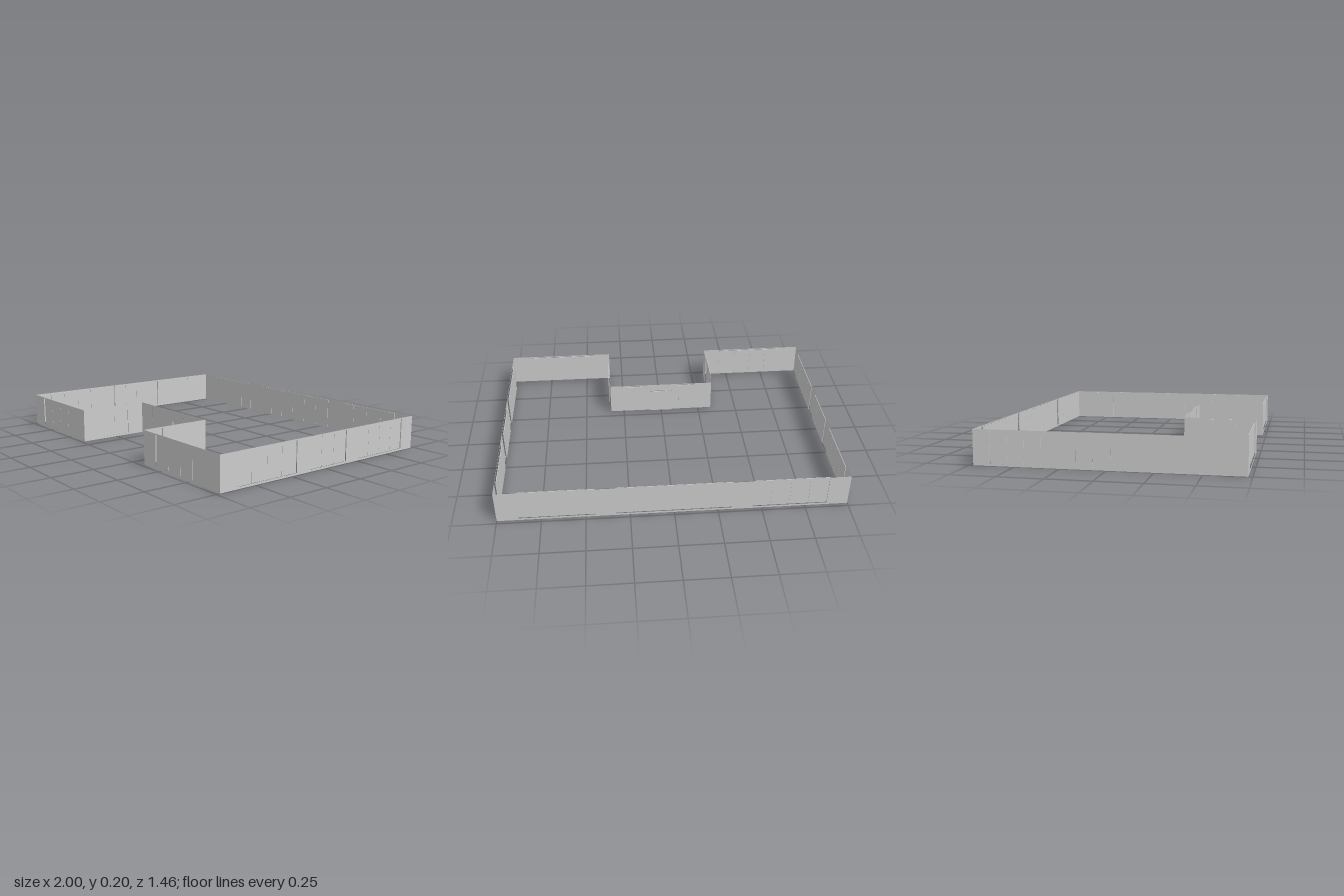
import * as THREE from 'three';

const X = 1, Z = 0.728, NX = 0.335, NZ = 0.305; // outer half sizes, entrance recess
const H = 0.196, SILL = 0.012, HEAD = 0.19;
const INSET = 0.009, GAP = 0.002, LAP = 0.0015;

const material = new THREE.MeshStandardMaterial({ color: 0xcccccc, side: THREE.DoubleSide });

function box(name, w, h, d, x, y, z) {
  const mesh = new THREE.Mesh(new THREE.BoxGeometry(w, h, d), material);
  mesh.name = name;
  mesh.position.set(x, y, z);
  return mesh;
}

function rectangle(path, x0, x1, y0, y1) {
  path.moveTo(x0, y0);
  path.lineTo(x1, y0);
  path.lineTo(x1, y1);
  path.lineTo(x0, y1);
  path.closePath();
  return path;
}

// A thin wall from a to b (x, z), outside on its local +z.
// Each opening is [from, to, pane count, head height, sill height, name].
function makeWall(name, a, b, openings) {
  const wall = new THREE.Group();
  wall.name = name;
  const dx = b[0] - a[0], dz = b[1] - a[1];
  const alongX = Math.abs(dx) > Math.abs(dz);
  const start = alongX ? a[0] : a[1];
  const shape = rectangle(new THREE.Shape(), 0, Math.hypot(dx, dz), 0, H);

  for (const [from, to, count, head = HEAD, sill = SILL, part = 'windowPane'] of openings) {
    const d0 = Math.min(Math.abs(from - start), Math.abs(to - start));
    const step = Math.abs(to - from) / count;
    for (let i = 0; i < count; i++) {
      const x0 = d0 + i * step + GAP, x1 = d0 + (i + 1) * step - GAP;
      shape.holes.push(rectangle(new THREE.Path(), x0, x1, sill, head));
      // recessed pane, lapping slightly behind the opening
      wall.add(box(part, x1 - x0 + 2 * LAP, head - sill + 2 * LAP, 0.003,
        (x0 + x1) / 2, (sill + head) / 2, -INSET));
    }
  }

  const skin = new THREE.Mesh(new THREE.ShapeGeometry(shape), material);
  skin.name = 'wallSkin';
  wall.add(skin);
  wall.position.set(a[0], 0, a[1]);
  wall.rotation.y = Math.atan2(-dz, dx);
  return wall;
}

export function createModel() {
  const model = new THREE.Group();
  model.name = 'storeyWalls';

  const wing = s => [[0.445 * s, 0.88 * s, 4]];
  const recessSide = [[0.41, 0.61, 2]];
  const side = [[0.21, 0.62, 4], [-0.165, 0.115, 3], [-0.635, -0.26, 4]];
  const back = [...wing(1), [-0.33, 0.33, 6], ...wing(-1)];
  const entrance = [
    [-0.22, -0.115, 1],
    [-0.075, 0.075, 2, 0.15, 0.004, 'doorLeaf'],
    [0.115, 0.22, 1],
  ];

  // Walls in order around the plan
  const entranceWall = makeWall('entranceWall', [-NX, NZ], [NX, NZ], entrance);
  model.add(
    makeWall('frontRightWall', [-X, Z], [-NX, Z], wing(-1)),
    makeWall('recessRightWall', [-NX, Z], [-NX, NZ], recessSide),
    entranceWall,
    makeWall('recessLeftWall', [NX, NZ], [NX, Z], recessSide),
    makeWall('frontLeftWall', [NX, Z], [X, Z], wing(1)),
    makeWall('leftWall', [X, Z], [X, -Z], side),
    makeWall('backWall', [X, -Z], [-X, -Z], back),
    makeWall('rightWall', [-X, -Z], [-X, Z], side),
  );

  // Pull handles on the double door
  for (const s of [-1, 1]) {
    entranceWall.add(box('doorHandle', 0.003, 0.065, 0.003, NX + s * 0.006, 0.092, -INSET + 0.004));
  }
  return model;
}
